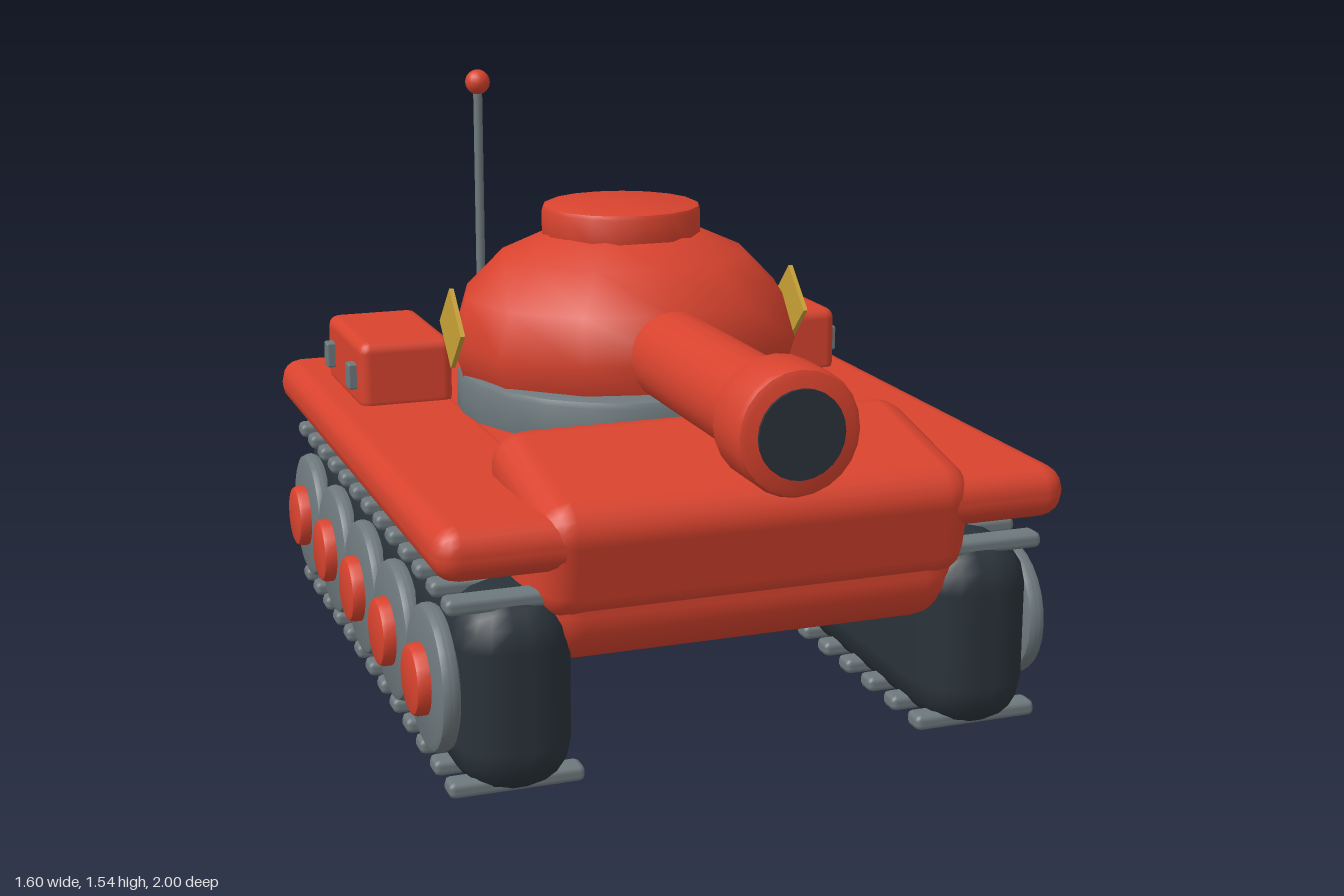
import * as THREE from 'three';
import { RoundedBoxGeometry } from 'three/addons/geometries/RoundedBoxGeometry.js';
import { toCreasedNormals } from 'three/addons/utils/BufferGeometryUtils.js';

export function createModel() {
  const tank = new THREE.Group();
  tank.name = 'toyTank';

  const material = (name, color) => {
    const m = new THREE.MeshStandardMaterial({ color });
    m.name = name;
    return m;
  };
  const red = material('red paint', 0xd8432e);
  const grey = material('grey metal', 0x6e797d);
  const dark = material('dark rubber', 0x2a333a);
  const gold = material('gold', 0xc9a236);

  const add = (name, geometry, mat, x, y, z, parent = tank) => {
    const mesh = new THREE.Mesh(geometry, mat);
    mesh.name = name;
    mesh.position.set(x, y, z);
    parent.add(mesh);
    return mesh;
  };
  const softBox = (w, h, d, r, seg = 2) => new RoundedBoxGeometry(w, h, d, seg, r);

  // Solid disc along y, centred, with a bevelled rim
  const softDisc = (radius, height, bevel, sides) => {
    const h = height / 2, b = bevel, k = bevel * 0.3;
    const profile = [
      [0, -h], [radius - b, -h], [radius - k, -h + k], [radius, -h + b],
      [radius, h - b], [radius - k, h - k], [radius - b, h], [0, h],
    ].map(([x, y]) => new THREE.Vector2(x, y));
    return toCreasedNormals(new THREE.LatheGeometry(profile, sides), 0.7);
  };

  // Hull with a sloping nose
  add('hull', softBox(1.12, 0.378, 1.71, 0.13, 3), red, 0, 0.479, -0.075);
  const nose = add('nosePlate', softBox(1.08, 0.29, 0.5, 0.08), red, 0, 0.59, 0.568);
  nose.rotation.x = 0.21;

  // Running gear, fender and stowage, mirrored on both sides
  const fenderGeo = softBox(0.395, 0.13, 1.82, 0.06);
  const trackGeo = softBox(0.285, 0.49, 1.79, 0.125);
  const treadGeo = softBox(0.325, 0.04, 0.065, 0.015, 1);
  const wheelGeo = softDisc(0.175, 0.05, 0.02, 28);
  const hubGeo = softDisc(0.085, 0.08, 0.015, 20);
  const boxGeo = softBox(0.255, 0.19, 0.42, 0.03);
  const latchGeo = softBox(0.03, 0.07, 0.045, 0.006, 1);

  for (const [label, s] of [['left', 1], ['right', -1]]) {
    const side = new THREE.Group();
    side.name = label + 'Side';
    tank.add(side);

    add('fender', fenderGeo, red, s * 0.588, 0.605, -0.09, side);
    add('trackBelt', trackGeo, dark, s * 0.585, 0.245, -0.085, side);

    for (let i = 0; i < 13; i++) {
      const z = 0.727 - i * 0.135;
      add('upperTread', treadGeo, grey, s * 0.587, 0.472, z, side);
      add('lowerTread', treadGeo, grey, s * 0.587, 0.035, z, side);
    }
    for (let i = 0; i < 5; i++) {
      const z = 0.595 - i * 0.338;
      add('wheel', wheelGeo, grey, s * 0.742, 0.255, z, side).rotation.z = Math.PI / 2;
      add('wheelHub', hubGeo, red, s * 0.762, 0.255, z, side).rotation.z = Math.PI / 2;
    }

    add('stowageBox', boxGeo, red, s * 0.561, 0.745, -0.54, side);
    for (const z of [-0.4, -0.67]) add('latch', latchGeo, grey, s * 0.696, 0.742, z, side);

    // Diamond badge on the turret flank
    const badge = add('diamondBadge', new THREE.BoxGeometry(0.012, 0.15, 0.15), gold,
      s * 0.477, 0.9, -0.175, side);
    badge.rotation.x = Math.PI / 4;
  }

  // Turret
  add('turretRing', softDisc(0.45, 0.14, 0.02, 24), grey, 0, 0.705, -0.18);
  const dome = new THREE.SphereGeometry(1, 12, 8);
  dome.scale(0.47, 0.314, 0.43);
  add('turretDome', dome, red, 0, 0.85, -0.195);
  add('hatch', softDisc(0.212, 0.1, 0.015, 18), red, 0, 1.15, -0.21);

  // Gun along +z
  const gun = new THREE.Group();
  gun.name = 'gun';
  gun.position.set(0, 0.868, 0);
  gun.rotation.x = Math.PI / 2;
  tank.add(gun);
  add('barrel', new THREE.CylinderGeometry(0.115, 0.115, 0.75, 24), red, 0, 0.475, 0, gun);
  add('muzzle', softDisc(0.15, 0.17, 0.02, 24), red, 0, 0.907, 0, gun);
  add('bore', new THREE.CylinderGeometry(0.104, 0.104, 0.02, 24), dark, 0, 0.99, 0, gun);

  // Antenna
  add('antennaRod', new THREE.CylinderGeometry(0.012, 0.012, 0.56, 10), grey, -0.328, 1.22, -0.425);
  add('antennaBall', new THREE.SphereGeometry(0.033, 16, 12), red, -0.328, 1.508, -0.425);

  return tank;
}
